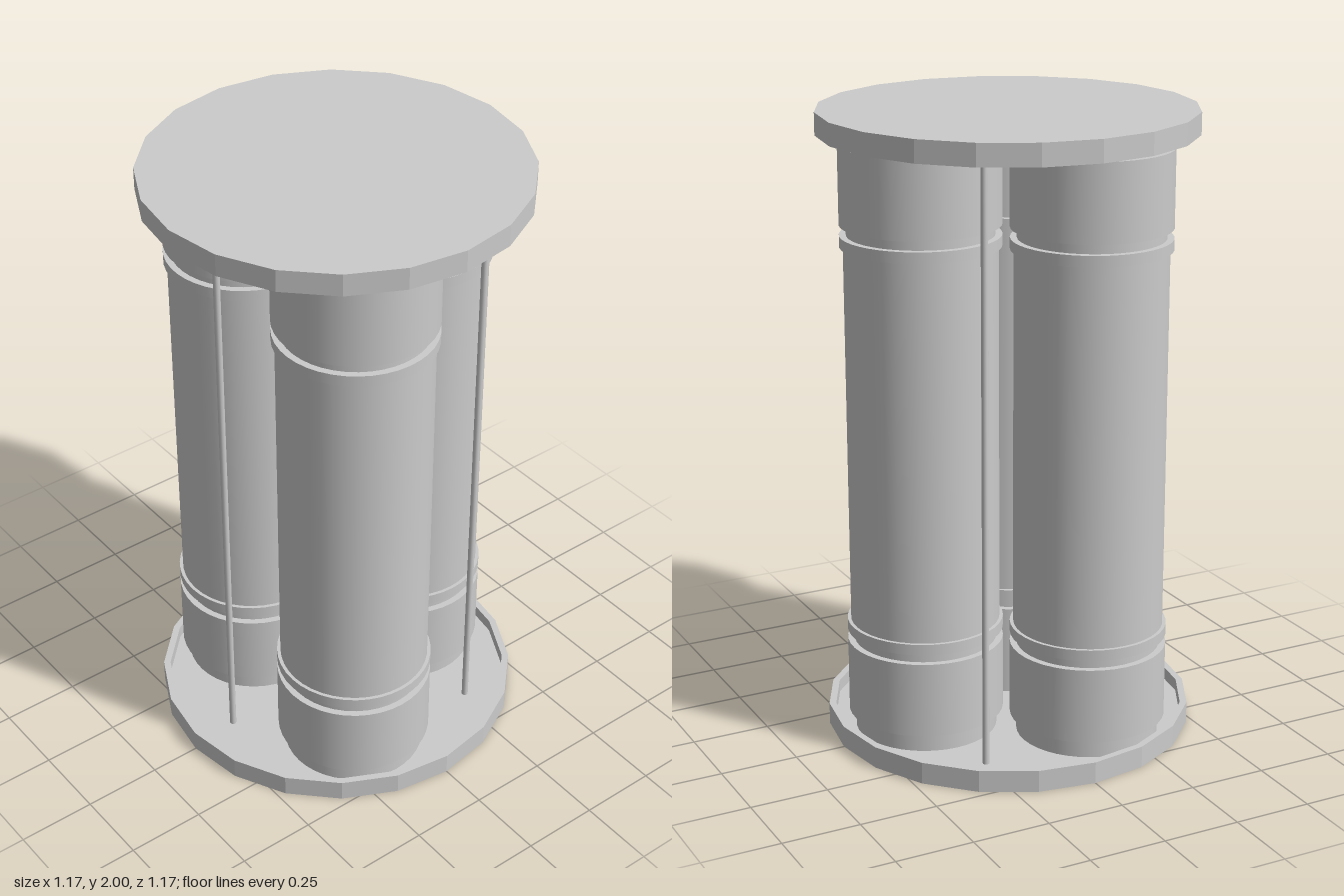
import * as THREE from 'three';

const smooth = new THREE.MeshStandardMaterial({ color: 0xcccccc });
const faceted = new THREE.MeshStandardMaterial({ color: 0xcccccc, flatShading: true });

// Upright cylinder spanning y0..y1
function drum(name, r, y0, y1, sides = 40) {
  const mesh = new THREE.Mesh(new THREE.CylinderGeometry(r, r, y1 - y0, sides), smooth);
  mesh.position.y = (y0 + y1) / 2;
  mesh.name = name;
  return mesh;
}

// Twenty-sided end plate with a shallow recess inside its rim
function endPlate(name) {
  const profile = [[0, 0], [0.587, 0], [0.587, 0.07], [0.565, 0.07], [0.565, 0.03], [0, 0.03]]
    .map(([r, y]) => new THREE.Vector2(r, y));
  const mesh = new THREE.Mesh(new THREE.LatheGeometry(profile, 20), faceted);
  mesh.name = name;
  return mesh;
}

// Canister: core, main tube, and a collar plus end cap at both ends
function canister() {
  const group = new THREE.Group();
  group.name = 'canister';
  group.add(drum('core', 0.226, 0.03, 1.97), drum('tube', 0.236, 0.4, 1.605));
  for (const [name, y0, y1] of [['endCap', 0.09, 0.333], ['collar', 0.365, 0.4]]) {
    group.add(drum(name + 'Lower', 0.247, y0, y1));
    group.add(drum(name + 'Upper', 0.247, 2.005 - y1, 2.005 - y0));
  }
  return group;
}

export function createModel() {
  const model = new THREE.Group();
  model.name = 'canisterRack';

  const top = endPlate('topPlate');
  top.rotation.x = Math.PI;
  top.position.y = 2;
  model.add(endPlate('basePlate'), top);

  // Three canisters around the axis
  for (const [x, z] of [[0.296, 0], [-0.142, 0.275], [-0.142, -0.275]]) {
    const c = canister();
    c.position.set(x, 0, z);
    model.add(c);
  }

  // Thin tie rods in the gaps between canisters
  for (const [x, z] of [[-0.434, 0], [0.265, 0.365], [0.265, -0.365]]) {
    const rod = drum('tieRod', 0.0105, 0.03, 1.97, 12);
    rod.position.x = x;
    rod.position.z = z;
    model.add(rod);
  }
  return model;
}
